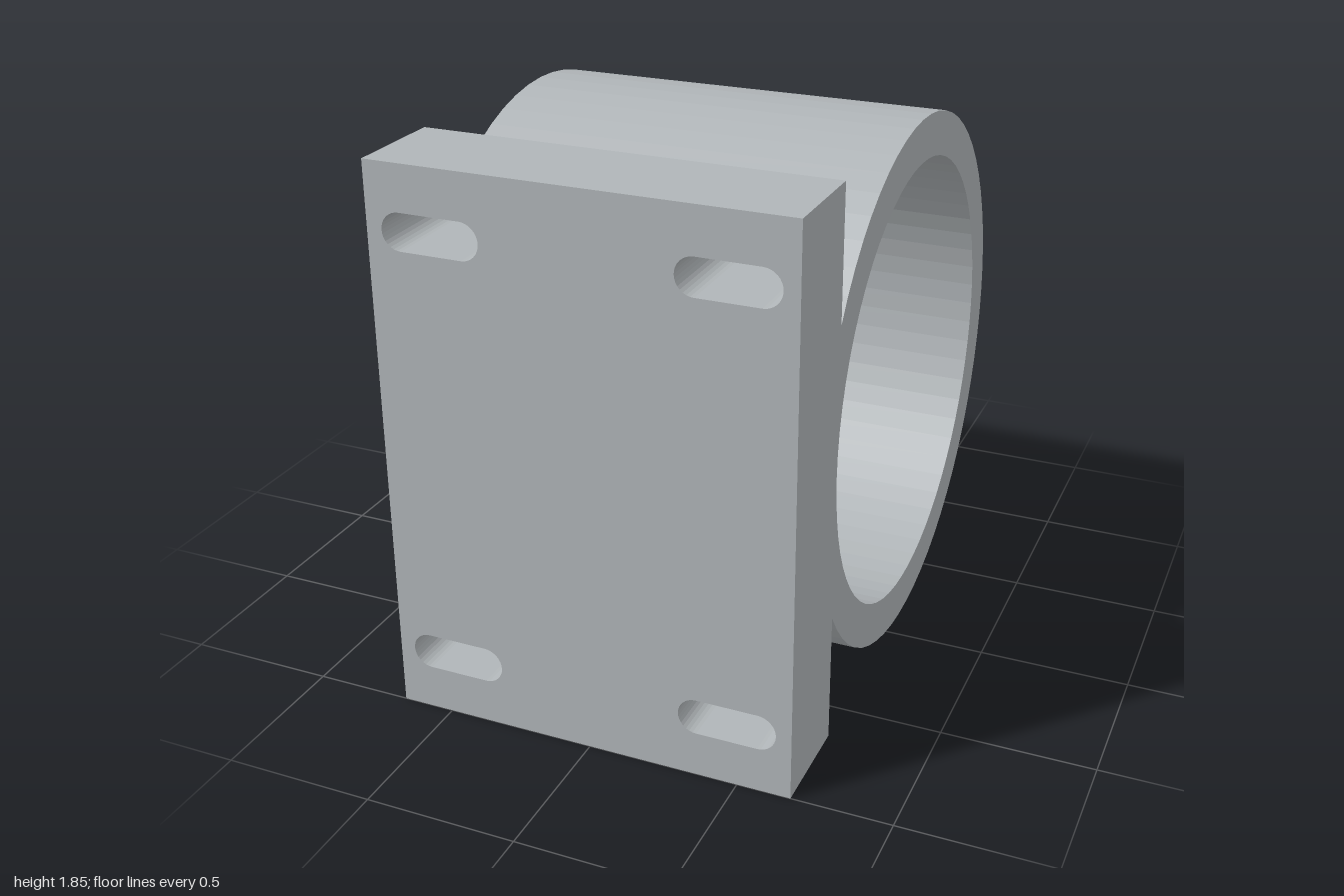
import * as THREE from 'three';

const WIDTH = 1.35, HEIGHT = 1.85, PLATE_BACK = 0.655, PLATE_FRONT = 1;
const RING_Z = -0.1, RING_Y = 0.925, OUTER = 0.9, BORE = 0.754;

// Points along an arc of the ring, in (z, y)
function arcPoints(radius, start, end, segments) {
  return Array.from({ length: segments + 1 }, (_, i) => {
    const a = start + (end - start) * i / segments;
    return new THREE.Vector2(RING_Z + radius * Math.cos(a), RING_Y + radius * Math.sin(a));
  });
}

// Horizontal slot with round ends
function slot(x, y, halfLength = 0.1, radius = 0.06) {
  const path = new THREE.Path();
  path.absarc(x + halfLength, y, radius, -Math.PI / 2, Math.PI / 2, false);
  path.absarc(x - halfLength, y, radius, Math.PI / 2, Math.PI * 1.5, false);
  path.closePath();
  return path;
}

export function createModel() {
  const group = new THREE.Group();
  group.name = 'pipeMount';
  const grey = new THREE.MeshStandardMaterial({ color: 0xb0b5b8, flatShading: true });
  grey.name = 'light grey';

  // Mounting plate with four through slots
  const plateShape = new THREE.Shape([
    new THREE.Vector2(-WIDTH / 2, 0), new THREE.Vector2(WIDTH / 2, 0),
    new THREE.Vector2(WIDTH / 2, HEIGHT), new THREE.Vector2(-WIDTH / 2, HEIGHT),
  ]);
  for (const x of [-0.465, 0.465]) {
    for (const y of [0.21, 1.64]) plateShape.holes.push(slot(x, y));
  }
  const plateGeometry = new THREE.ExtrudeGeometry(plateShape, {
    depth: PLATE_FRONT - PLATE_BACK, bevelEnabled: false, curveSegments: 8,
  });
  plateGeometry.translate(0, 0, PLATE_BACK);
  const plate = new THREE.Mesh(plateGeometry, grey);
  plate.name = 'mountingPlate';
  group.add(plate);

  // Ring, cut flat where it meets the plate
  const cut = Math.acos((PLATE_BACK - RING_Z) / OUTER);
  const ringShape = new THREE.Shape(arcPoints(OUTER, cut, Math.PI * 2 - cut, 52));
  ringShape.holes.push(new THREE.Path(arcPoints(BORE, 0, Math.PI * 2, 64).slice(0, -1)));
  const ringGeometry = new THREE.ExtrudeGeometry(ringShape, { depth: WIDTH, bevelEnabled: false });
  ringGeometry.translate(0, 0, -WIDTH / 2).rotateY(-Math.PI / 2);
  const ring = new THREE.Mesh(ringGeometry, grey);
  ring.name = 'clampRing';
  group.add(ring);

  return group;
}
